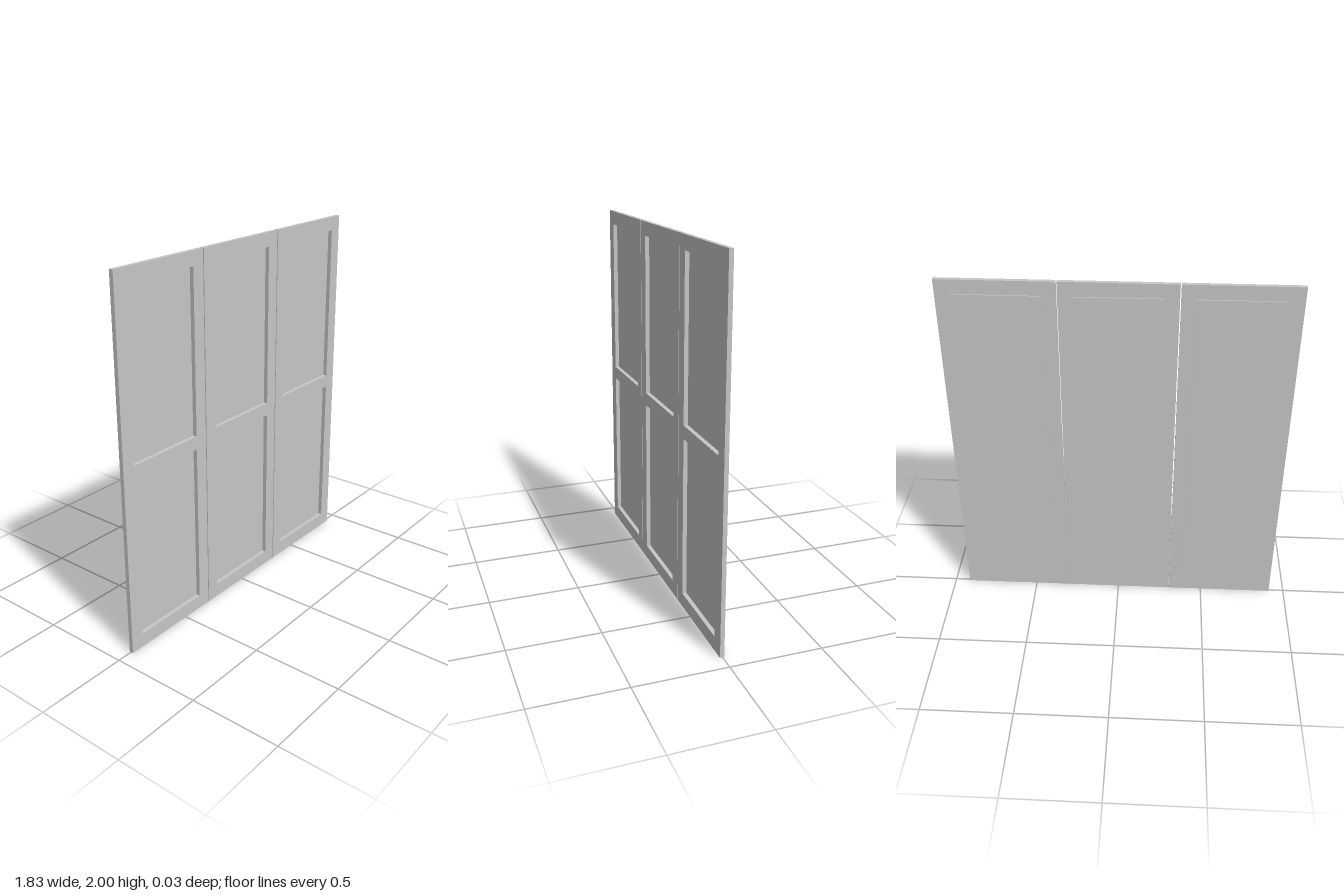
import * as THREE from 'three';

const W = 0.605, H = 2, PITCH = 0.6105;          // door leaf size and spacing
const FRONT = 0.0145, SEAM = -0.0085, BACK = -0.0145; // depth planes
const STILE = 0.0735, RAIL = 0.077, MID = 0.0365; // frame member widths (MID is half)

// Rectangular hole in a shape
function addHole(shape, x0, y0, x1, y1) {
  const hole = new THREE.Path();
  hole.moveTo(x0, y0).lineTo(x0, y1).lineTo(x1, y1).lineTo(x1, y0).closePath();
  shape.holes.push(hole);
}

export function createModel() {
  const model = new THREE.Group();
  model.name = 'panelledDoors';
  const grey = new THREE.MeshStandardMaterial({ color: 0xc7c7c7 });
  grey.name = 'lightGrey';

  // Frame: stiles and rails around two openings
  const outline = new THREE.Shape();
  outline.moveTo(-W / 2, 0).lineTo(W / 2, 0).lineTo(W / 2, H).lineTo(-W / 2, H).closePath();
  const ix = W / 2 - STILE;
  addHole(outline, -ix, RAIL, ix, H / 2 - MID);
  addHole(outline, -ix, H / 2 + MID, ix, H - RAIL);
  const frameGeometry = new THREE.ExtrudeGeometry(outline, { depth: FRONT - SEAM, bevelEnabled: false });
  frameGeometry.translate(0, 0, SEAM);

  // Thin sheet closing both openings from behind
  const sheetGeometry = new THREE.BoxGeometry(2 * ix, H - 2 * RAIL, SEAM - BACK);
  sheetGeometry.translate(0, H / 2, (SEAM + BACK) / 2);

  ['right', 'middle', 'left'].forEach((side, i) => {
    const leaf = new THREE.Group();
    leaf.name = side + 'Leaf';
    leaf.position.x = (i - 1) * PITCH;
    const frame = new THREE.Mesh(frameGeometry, grey);
    frame.name = 'frame';
    const sheet = new THREE.Mesh(sheetGeometry, grey);
    sheet.name = 'backPanel';
    leaf.add(frame, sheet);
    model.add(leaf);
  });
  return model;
}
